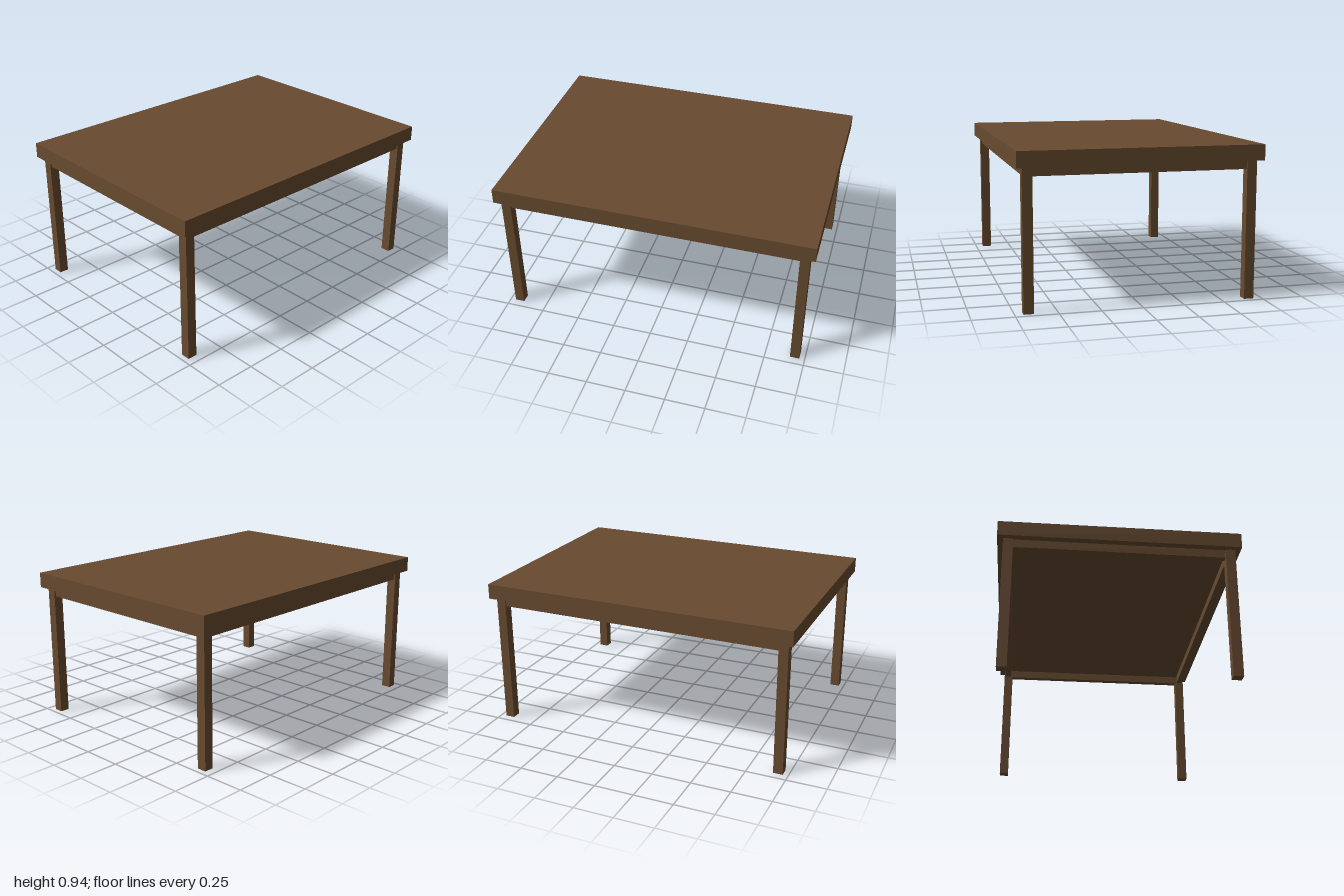
import * as THREE from 'three';

export function createModel() {
  const table = new THREE.Group();
  table.name = 'table';
  const wood = new THREE.MeshStandardMaterial({ color: 0x684b30 });

  const addBox = (name, size, position) => {
    const mesh = new THREE.Mesh(new THREE.BoxGeometry(...size), wood);
    mesh.name = name;
    mesh.position.set(...position);
    table.add(mesh);
  };

  const topBottom = 0.84, topHeight = 0.095;
  const legWidth = 0.06, legX = 0.936, legZ = 0.67;
  const railHeight = 0.053, railDepth = 0.04;
  const railY = topBottom - railHeight / 2;

  // Thick slab top
  addBox('tableTop', [2, topHeight, 1.47], [0, topBottom + topHeight / 2, 0]);

  for (const s of [-1, 1]) {
    const side = s > 0 ? 'left' : 'right';
    const end = s > 0 ? 'front' : 'back';

    // Square legs at the corners
    for (const f of [-1, 1]) {
      addBox(`${side}${f > 0 ? 'Front' : 'Back'}Leg`,
        [legWidth, topBottom, legWidth], [s * legX, topBottom / 2, f * legZ]);
    }

    // Apron rails running between the legs
    addBox(`${end}Rail`, [2 * legX - legWidth, railHeight, railDepth], [0, railY, s * legZ]);
    addBox(`${side}Rail`, [railDepth, railHeight, 2 * legZ - legWidth], [s * legX, railY, 0]);
  }

  return table;
}
